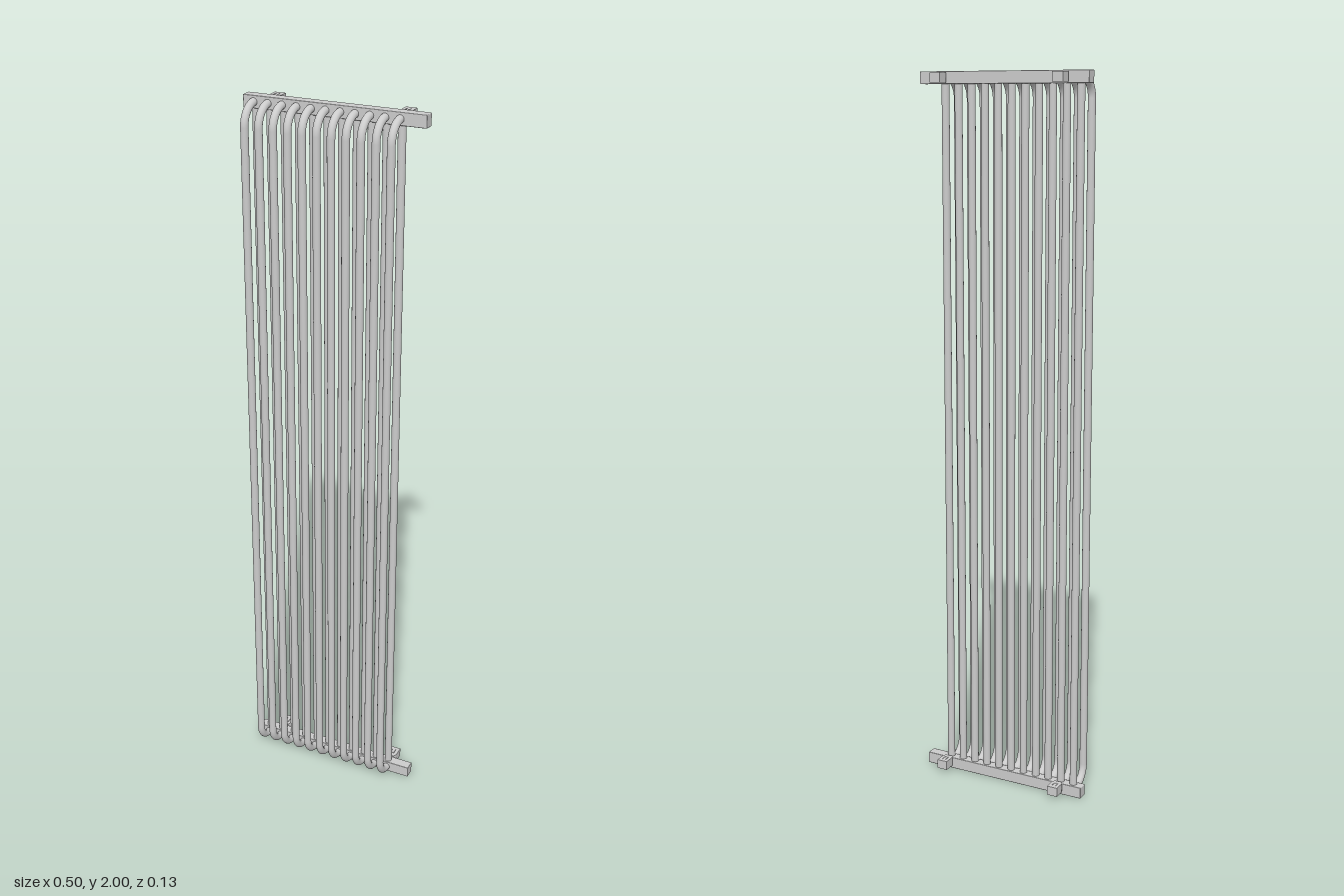
import * as THREE from 'three';
import { RoundedBoxGeometry } from 'three/addons/geometries/RoundedBoxGeometry.js';

const R = 0.0105;          // tube radius
const BAR_H = 0.033;       // header height
const LOW = BAR_H / 2, HIGH = 2 - BAR_H / 2;
const BEND = 0.053;        // bend radius
const FRONT_Z = 0.0555, BACK_Z = -0.0095;

export function createModel() {
  const root = new THREE.Group();
  const mat = new THREE.MeshStandardMaterial({ color: 0xcccccc });
  const add = (parent, name, geo, x, y, z) => {
    const m = new THREE.Mesh(geo, mat);
    m.name = name;
    m.position.set(x, y, z);
    parent.add(m);
    return m;
  };

  // Header bars, top and bottom
  const bar = new RoundedBoxGeometry(0.5, BAR_H, 0.03, 2, 0.002);
  add(root, 'bottomHeader', bar, 0, LOW, -0.0105);
  add(root, 'topHeader', bar, 0, HIGH, -0.0105);

  // Vertical tubes: a straight back row and a front row bent into the headers
  const straight = new THREE.CylinderGeometry(R, R, HIGH - LOW - 2 * BEND, 20, 1, true);
  const back = new THREE.CylinderGeometry(R, R, HIGH - LOW, 20, 1, true);
  const bend = new THREE.TorusGeometry(BEND, R, 20, 14, Math.PI / 2);
  bend.rotateY(-Math.PI / 2); // quarter arc from +z up to +y
  const lowBend = bend.clone().rotateX(Math.PI / 2);
  const stub = new THREE.CylinderGeometry(R, R, 0.012, 20, 1, true).rotateX(Math.PI / 2);
  const bendZ = FRONT_Z - BEND;
  for (let i = 0; i < 11; i++) {
    const x = -0.22 + i * 0.04;
    const tube = new THREE.Group();
    tube.name = 'frontTube';
    add(tube, 'frontTubeStraight', straight, x, 1, FRONT_Z);
    add(tube, 'topBend', bend, x, HIGH - BEND, bendZ);
    add(tube, 'bottomBend', lowBend, x, LOW + BEND, bendZ);
    for (const y of [LOW, HIGH]) add(tube, 'tubeJoint', stub, x, y, bendZ - 0.006);
    root.add(tube);
    add(root, 'backTube', back, x, 1, BACK_Z);
  }

  // Wall brackets: block with tapered neck and a U-shaped slot
  const plan = new THREE.Shape();
  [[-0.0155, 0.066], [0.0155, 0.066], [0.0155, 0.034], [0.011, 0.0245], [-0.011, 0.0245], [-0.0155, 0.034]]
    .forEach(([x, y], i) => (i ? plan.lineTo(x, y) : plan.moveTo(x, y)));
  const slot = new THREE.Path();
  [[-0.006, 0.055], [-0.006, 0.038], [0.006, 0.038], [0.006, 0.055],
    [0.0045, 0.055], [0.0045, 0.0395], [-0.0045, 0.0395], [-0.0045, 0.055]]
    .forEach(([x, y], i) => (i ? slot.lineTo(x, y) : slot.moveTo(x, y)));
  plan.holes.push(slot);
  const bracket = new THREE.ExtrudeGeometry(plan, { depth: 0.026, bevelEnabled: false });
  bracket.translate(0, 0, -0.013).rotateX(-Math.PI / 2);
  for (const x of [-0.18, 0.18])
    for (const y of [LOW + 0.008, HIGH]) add(root, 'wallBracket', bracket, x, y, 0);

  return root;
}
